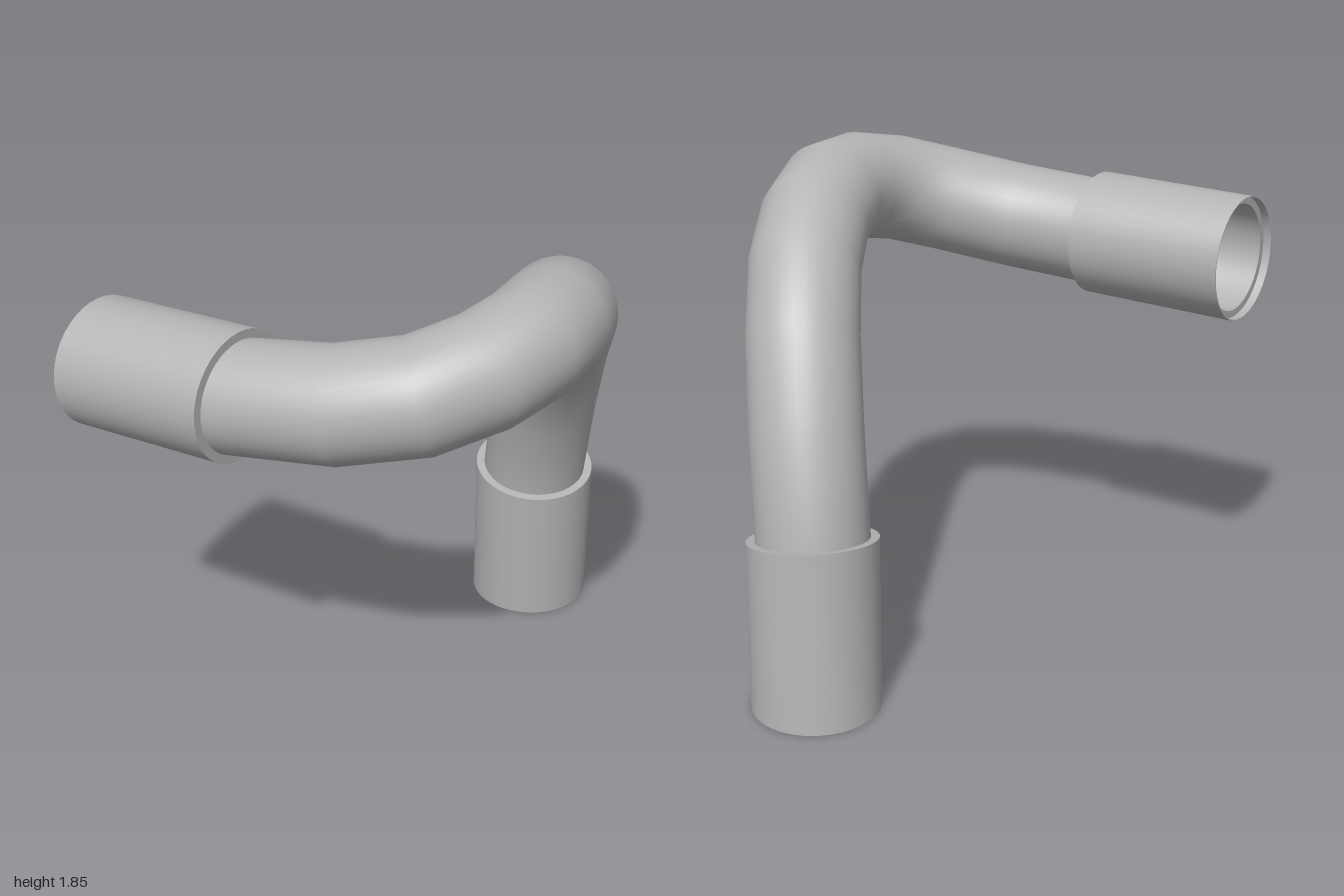
import * as THREE from 'three';
import { toCreasedNormals } from 'three/addons/utils/BufferGeometryUtils.js';

const SIDES = 40;
const HOSE_R = 0.203;
const CUFF_R = 0.235;
const V = (x, y, z) => new THREE.Vector3(x, y, z);

// Skin circular rings { c: centre, t: direction, r: radius } into one surface
function skin(rings) {
  const pos = [], index = [];
  const u = V(1, 0, 0);
  if (Math.abs(rings[0].t.x) > 0.9) u.set(0, 1, 0);
  rings.forEach(({ c, t, r }, i) => {
    u.addScaledVector(t, -u.dot(t)).normalize();
    const v = t.clone().cross(u);
    for (let j = 0; j < SIDES; j++) {
      const a = (j / SIDES) * Math.PI * 2;
      const p = c.clone().addScaledVector(u, r * Math.cos(a)).addScaledVector(v, r * Math.sin(a));
      pos.push(p.x, p.y, p.z);
      if (i === 0) continue;
      const k = (j + 1) % SIDES, lo = (i - 1) * SIDES, hi = i * SIDES;
      index.push(lo + j, lo + k, hi + j, lo + k, hi + k, hi + j);
    }
  });
  const g = new THREE.BufferGeometry();
  g.setAttribute('position', new THREE.Float32BufferAttribute(pos, 3));
  g.setIndex(index);
  return toCreasedNormals(g, 0.7);
}

export function createModel() {
  const grey = new THREE.MeshStandardMaterial({ color: 0xb4b4b4, side: THREE.DoubleSide });
  grey.name = 'grey';
  const group = new THREE.Group();
  group.name = 'bentHose';
  const add = (name, rings) => {
    const mesh = new THREE.Mesh(skin(rings), grey);
    mesh.name = name;
    group.add(mesh);
  };

  // Centre line, from the rear mouth to the bottom mouth
  const path = [
    V(-0.765, 1.435, -0.79), V(-0.73, 1.458, -0.187), V(-0.65, 1.495, 0.15),
    V(-0.53, 1.55, 0.395), V(-0.365, 1.61, 0.535), V(-0.185, 1.645, 0.583),
    V(0.003, 1.645, 0.56), V(0.193, 1.59, 0.485), V(0.373, 1.48, 0.385),
    V(0.527, 1.28, 0.275), V(0.65, 0.98, 0.17), V(0.723, 0.62, 0.093),
    V(0.765, 0, 0.063),
  ];
  const n = path.length - 1;

  // Each ring lies in the mitre plane; both mouths are cut square
  const dirs = path.map((p, i) => {
    if (i <= 1) return V(0, 0, 1);
    if (i === n) return V(0, -1, 0);
    const before = p.clone().sub(path[i - 1]).normalize();
    const after = path[i + 1].clone().sub(p).normalize();
    return before.add(after).normalize();
  });

  // Hose, ending just inside each cuff
  const hose = path.map((c, i) => ({ c: c.clone(), t: dirs[i], r: HOSE_R }));
  hose[0].c.lerp(path[1], 0.05);
  hose[n].c.lerp(path[n - 1], 0.05);
  add('hose', hose);

  // Cuff: shoulder ring, outer wall, short inner lip and inner ledge
  const cuff = (name, from, to, tFrom, tTo) => {
    const inside = to.clone().lerp(from, 0.05);
    add(name, [
      { c: from, t: tFrom, r: HOSE_R },
      { c: from, t: tFrom, r: CUFF_R },
      { c: to, t: tTo, r: CUFF_R },
      { c: to, t: tTo, r: CUFF_R - 0.004 },
      { c: inside, t: tTo, r: CUFF_R - 0.004 },
      { c: inside, t: tTo, r: HOSE_R },
    ]);
  };
  cuff('rearCuff', path[1], path[0], V(0, 0, -1), V(0, 0, -1));
  cuff('bottomCuff', path[n - 1], path[n], dirs[n - 1], dirs[n]);

  return group;
}
